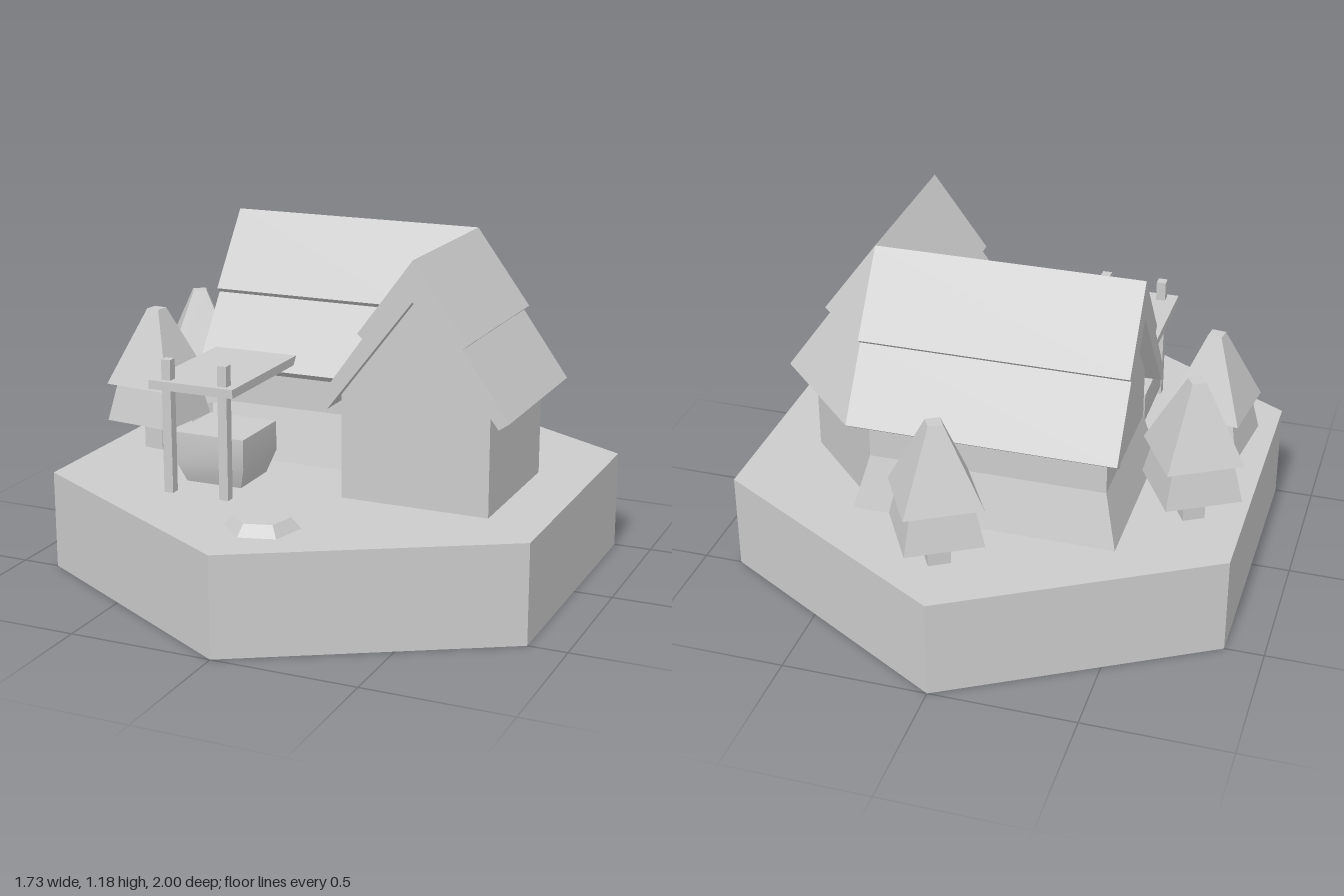
import * as THREE from 'three';
import { toCreasedNormals } from 'three/addons/utils/BufferGeometryUtils.js';

const GROUND = 0.345;
const material = new THREE.MeshStandardMaterial({ color: 0xcccccc, flatShading: true });
const smooth = new THREE.MeshStandardMaterial({ color: 0xcccccc });

function add(parent, name, geometry, x = 0, y = 0, z = 0, mat = material) {
  const mesh = new THREE.Mesh(geometry, mat);
  mesh.name = name;
  mesh.position.set(x, y, z);
  parent.add(mesh);
  return mesh;
}

// Skin a solid over cross-section rings; the profile is the 2D outline used for both end caps
function loft(rings, profile) {
  const pos = [];
  const tri = (a, b, c) => {
    if (new THREE.Triangle(a, b, c).getArea() < 1e-7) return;
    for (const p of [a, b, c]) pos.push(p.x, p.y, p.z);
  };
  const n = profile.length;
  for (let r = 0; r < rings.length - 1; r++) {
    const a = rings[r], b = rings[r + 1];
    for (let i = 0; i < n; i++) {
      const j = (i + 1) % n;
      tri(a[i], a[j], b[j]);
      tri(a[i], b[j], b[i]);
    }
  }
  const first = rings[0], last = rings[rings.length - 1];
  for (const [i, j, k] of THREE.ShapeUtils.triangulateShape(profile, [])) {
    tri(last[i], last[j], last[k]);
    tri(first[k], first[j], first[i]);
  }
  const geometry = new THREE.BufferGeometry();
  geometry.setAttribute('position', new THREE.Float32BufferAttribute(pos, 3));
  geometry.computeVertexNormals();
  return geometry;
}

// Sweep a gable profile round the L-shaped plan: bevelled outer corner, mitred inner corner
function sweepL(points, startX, endZ, inset) {
  const cx = 0.413, cz = -0.235;
  const V = (x, y, z) => new THREE.Vector3(x, y, z);
  const profile = points.map(([s, y]) => new THREE.Vector2(s, y));
  const rings = [
    points.map(([s, y]) => V(startX, y, cz - s)),
    points.map(([s, y]) => V(s > 0 ? cx - inset : cx + s, y, cz - s)),
    points.map(([s, y]) => V(cx + s, y, s > 0 ? cz + inset : cz - s)),
    points.map(([s, y]) => V(cx + s, y, endZ)),
  ];
  return loft(rings, profile);
}

// Stack of rectangles [y, x0, x1, z0, z1], bottom to top
function rectStack(levels) {
  const corners = ([, x0, x1, z0, z1]) => [[x1, z1], [x1, z0], [x0, z0], [x0, z1]];
  const rings = levels.map(l => corners(l).map(([x, z]) => new THREE.Vector3(x, l[0], z)));
  return loft(rings, corners(levels[0]).map(([x, z]) => new THREE.Vector2(x, -z)));
}

// Cone section from y0 to y1
function frustum(parent, name, r0, r1, y0, y1, sides) {
  return add(parent, name, new THREE.CylinderGeometry(r1, r0, y1 - y0, sides), 0, (y0 + y1) / 2, 0);
}

function makeTree(x, z, angle) {
  const tree = new THREE.Group();
  tree.name = 'tree';
  frustum(tree, 'trunk', 0.054, 0.054, GROUND, 0.47, 4);
  frustum(tree, 'lowerFoliage', 0.185, 0.145, 0.455, 0.6, 4);
  frustum(tree, 'upperFoliage', 0.185, 0.034, 0.59, 0.857, 4);
  tree.position.set(x, 0, z);
  tree.rotation.y = THREE.MathUtils.degToRad(angle);
  return tree;
}

function makeHouse() {
  const house = new THREE.Group();
  house.name = 'house';

  // Walls with gable ends
  const walls = [[0, 1.04], [-0.258, 0.703], [-0.258, GROUND], [0.258, GROUND], [0.258, 0.703]];
  add(house, 'walls', sweepL(walls, -0.45, 0.34, 0.052));

  // Flared footing of the main wing
  add(house, 'footing', rectStack([
    [GROUND, -0.495, 0.41, -0.543, 0.073],
    [0.53, -0.45, 0.361, -0.493, 0.023],
  ]));

  // Two-tier roof
  const eave = [[0.19, 0.92], [0.172, 0.905], [0.333, 0.68], [0.297, 0.655]];
  const roof = [[0, 1.177], ...eave.map(([s, y]) => [-s, y]), [0, 1.042], ...eave.slice().reverse()];
  add(house, 'roof', sweepL(roof, -0.5, 0.372, 0));
  return house;
}

function makePorch() {
  const porch = new THREE.Group();
  porch.name = 'porch';
  add(porch, 'canopy', new THREE.BoxGeometry(0.31, 0.03, 0.485), -0.297, 0.72, 0.303);
  for (const x of [-0.397, -0.19]) {
    add(porch, 'post', new THREE.BoxGeometry(0.033, 0.46, 0.033), x, GROUND + 0.23, 0.51);
  }
  // Tub under the canopy, narrowing towards the bottom
  const tub = rectStack([
    [GROUND, -0.4, -0.195, 0.195, 0.39],
    [0.42, -0.425, -0.17, 0.165, 0.42],
    [0.525, -0.425, -0.17, 0.165, 0.42],
  ]);
  add(porch, 'tub', toCreasedNormals(tub, 0.7), 0, 0, 0, smooth);
  return porch;
}

export function createModel() {
  const model = new THREE.Group();
  model.name = 'cottageTile';

  // Hexagonal ground tile
  frustum(model, 'ground', 1, 1, 0, GROUND, 6);

  model.add(makeHouse(), makePorch());

  // Trees
  model.add(makeTree(0.045, -0.742, 75), makeTree(-0.683, -0.255, 75), makeTree(-0.681, 0.075, 38));

  // Flat stone
  const stone = frustum(model, 'stone', 0.125, 0.093, GROUND, 0.382, 6);
  stone.position.x = 0.04;
  stone.position.z = 0.703;
  stone.rotation.y = THREE.MathUtils.degToRad(46);

  return model;
}
